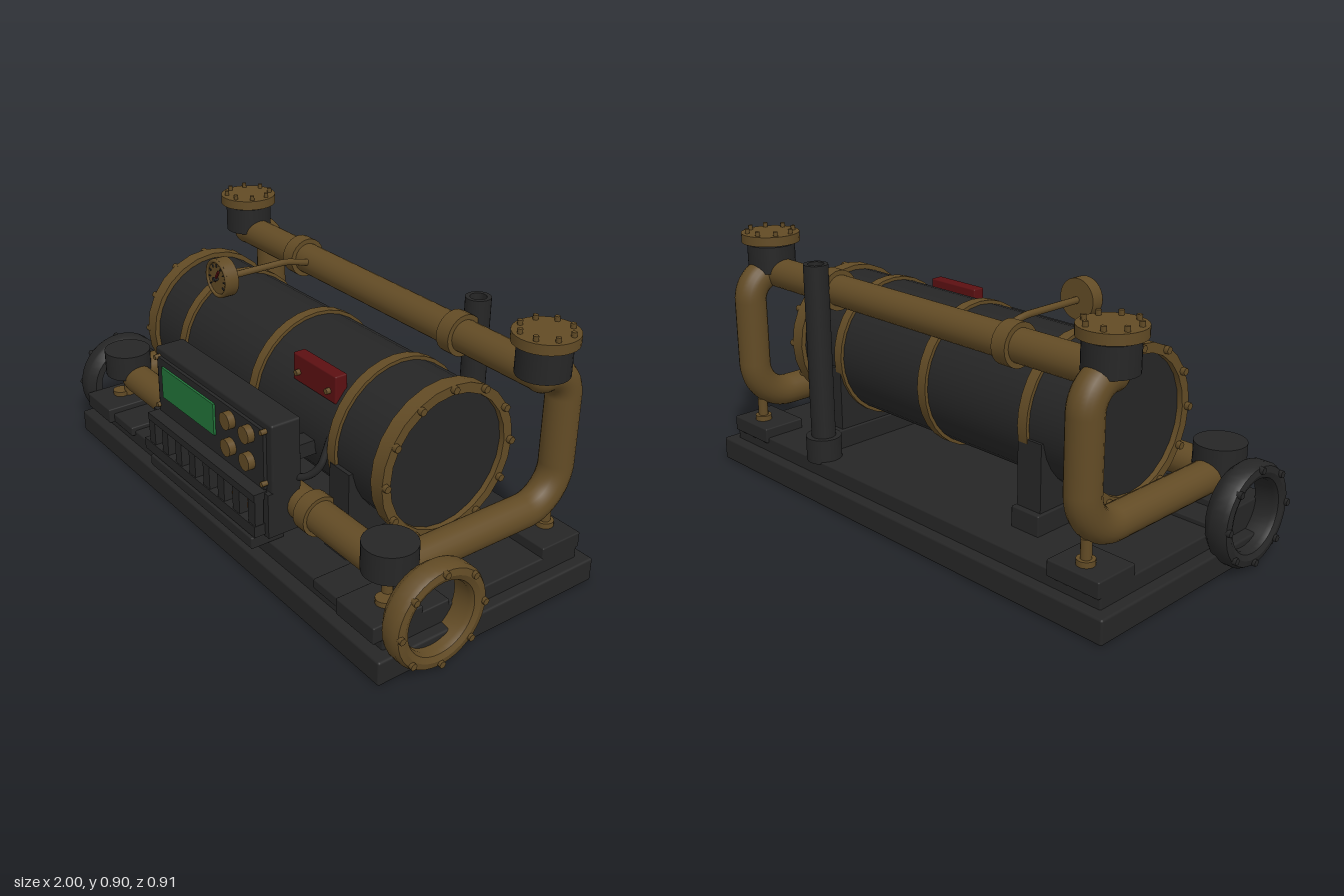
import * as THREE from 'three';
import { toCreasedNormals } from 'three/addons/utils/BufferGeometryUtils.js';
import { RoundedBoxGeometry } from 'three/addons/geometries/RoundedBoxGeometry.js';

const mat = (name, color) => Object.assign(new THREE.MeshStandardMaterial({ color }), { name });

export function createModel() {
  const iron = mat('dark iron', 0x262626);
  const brass = mat('aged brass', 0x624b25);
  const red = mat('red plate', 0x5c1012);
  const green = mat('green screen', 0x22753a);
  const orange = mat('flame orange', 0xd07a24);
  const ember = mat('ember brown', 0x5a3413);
  const model = new THREE.Group();
  model.name = 'boiler';
  const V = (x, y, z) => new THREE.Vector3(x, y, z);

  const add = (name, geometry, material, x = 0, y = 0, z = 0) => {
    const mesh = new THREE.Mesh(geometry, material);
    mesh.name = name;
    mesh.position.set(x, y, z);
    model.add(mesh);
    return mesh;
  };
  // box given by its extents on each axis
  const box = (name, m, x0, x1, y0, y1, z0, z1, r = 0) => {
    const s = [Math.abs(x1 - x0), y1 - y0, z1 - z0];
    const g = r ? new RoundedBoxGeometry(...s, 2, r) : new THREE.BoxGeometry(...s);
    return add(name, g, m, (x0 + x1) / 2, (y0 + y1) / 2, (z0 + z1) / 2);
  };
  // cylinder of radius r and length h centred at a point, along one axis
  const cyl = (name, m, axis, r, h, x, y, z, seg = 24) => {
    const g = new THREE.CylinderGeometry(r, r, h, seg);
    if (axis === 'x') g.rotateZ(-Math.PI / 2);
    if (axis === 'z') g.rotateX(Math.PI / 2);
    return add(name, g, m, x, y, z);
  };
  const lathe = (pts, seg = 32) =>
    toCreasedNormals(new THREE.LatheGeometry(pts.map(p => new THREE.Vector2(...p)), seg), 0.6);
  // hollow ring along x, side s = 1 or -1
  const ringX = (name, m, pts, s, x, y, z, seg) =>
    add(name, lathe(pts, seg).rotateZ(-s * Math.PI / 2), m, x, y, z);
  // pipe through points with rounded corners of the given radii
  const pipe = (name, m, pts, bends, r, steps = 60, sides = 16) => {
    const path = new THREE.CurvePath();
    let from = pts[0];
    for (let i = 1; i < pts.length - 1; i++) {
      const c = pts[i], d = bends[i - 1];
      const a = c.clone().add(pts[i - 1].clone().sub(c).setLength(d));
      const b = c.clone().add(pts[i + 1].clone().sub(c).setLength(d));
      path.add(new THREE.LineCurve3(from, a));
      path.add(new THREE.CubicBezierCurve3(a, a.clone().lerp(c, 0.55), b.clone().lerp(c, 0.55), b));
      from = b;
    }
    path.add(new THREE.LineCurve3(from, pts[pts.length - 1]));
    return add(name, new THREE.TubeGeometry(path, steps, r, sides), m);
  };

  // stepped base
  box('base', iron, -0.94, 0.94, 0, 0.085, -0.455, 0.43, 0.008);
  box('basePlinth', iron, -0.9, 0.9, 0.08, 0.14, -0.415, 0.385, 0.006);

  // boiler drum, its bands and end flanges
  const BY = 0.478, BZ = -0.022;
  cyl('boilerDrum', iron, 'x', 0.244, 1.36, 0, BY, BZ, 32);
  for (const x of [-0.458, 0, 0.442]) cyl('boilerBand', brass, 'x', 0.256, 0.038, x, BY, BZ, 32);
  for (const s of [1, -1]) {
    ringX('endFlange', brass, [[0.229, -0.027], [0.262, -0.027], [0.262, 0.027], [0.229, 0.027], [0.229, -0.027]],
      s, s * 0.673, BY, BZ, 24);
    for (let i = 0; i < 12; i++) {
      const a = i * Math.PI / 6;
      cyl('flangeBolt', brass, 'x', 0.013, 0.03, s * 0.701, BY + 0.25 * Math.cos(a), BZ + 0.25 * Math.sin(a), 6);
    }
  }

  for (const s of [1, -1]) {
    // saddles carrying the drum
    box('saddleFoot', iron, s * 0.43, s * 0.545, 0.13, 0.21, BZ - 0.27, BZ + 0.27, 0.005);
    box('saddle', iron, s * 0.437, s * 0.535, 0.2, 0.44, BZ - 0.25, BZ + 0.255);

    // mounting pads with brass feet
    box('widePad', iron, s * 0.58, s * 0.9, 0.12, 0.156, 0.13, 0.4, 0.005);
    box('frontPad', iron, s * 0.72, s * 0.9, 0.12, 0.178, 0.235, 0.42, 0.005);
    box('backPad', iron, s * 0.7, s * 0.9, 0.12, 0.176, -0.425, -0.26, 0.005);
    cyl('frontFoot', brass, 'y', 0.03, 0.02, s * 0.82, 0.186, 0.315, 16);
    cyl('frontFootStem', brass, 'y', 0.018, 0.06, s * 0.8, 0.21, 0.29, 12);
    cyl('backFoot', brass, 'y', 0.03, 0.02, s * 0.8, 0.185, -0.365, 16);
    cyl('backFootStem', brass, 'y', 0.018, 0.09, s * 0.8, 0.215, -0.365, 12);

    // side loop of the main pipe
    pipe('sidePipe', brass,
      [V(s * 0.8, 0.74, -0.285), V(s * 0.8, 0.74, -0.388), V(s * 0.8, 0.268, -0.388), V(s * 0.8, 0.268, 0.28), V(0, 0.268, 0.28)],
      [0.095, 0.14, 0.07], 0.057, 180, 20);
    add('pipeJoint', new THREE.SphereGeometry(0.057, 20, 14), brass, s * 0.8, 0.74, -0.285);
    ringX('pipeCollar', brass, [[0, -0.028], [0.072, -0.028], [0.072, 0.028], [0, 0.028]], s, s * 0.43, 0.74, -0.285, 24);
    ringX('pipeCollar', brass, [[0, -0.028], [0.07, -0.028], [0.07, 0.028], [0, 0.028]], s, s * 0.43, 0.268, 0.28, 24);

    // top valve: iron body, bolted brass cap
    cyl('topValve', iron, 'y', 0.086, 0.097, s * 0.8, 0.794, -0.285, 28);
    cyl('topValveNeck', brass, 'y', 0.06, 0.02, s * 0.8, 0.845, -0.285, 20);
    cyl('topValveCap', brass, 'y', 0.105, 0.034, s * 0.8, 0.867, -0.285, 28);
    for (let i = 0; i < 8; i++) {
      const a = (i + 0.5) * Math.PI / 4;
      cyl('capBolt', brass, 'y', 0.009, 0.02, s * 0.8 + 0.084 * Math.cos(a), 0.89, -0.285 + 0.084 * Math.sin(a), 6);
    }
    cyl('frontValve', iron, 'y', 0.087, 0.097, s * 0.8, 0.322, 0.285, 28);

    // open round flange at each end, brass on the left and iron on the right
    const m = s > 0 ? brass : iron;
    ringX('outletRing', m, [[0.125, -0.05], [0.15, -0.05], [0.172, -0.025], [0.175, -0.015], [0.175, 0.025], [0.166, 0.04],
      [0.145, 0.044], [0.127, 0.036], [0.12, 0.02], [0.125, -0.05]], s, s * 0.945, 0.183, 0.235, 36);
    for (let i = 0; i < 8; i++) {
      const a = i * Math.PI / 4;
      cyl('outletBolt', m, 'x', 0.012, 0.03, s * 0.983, 0.183 + 0.158 * Math.cos(a), 0.235 + 0.158 * Math.sin(a), 6);
    }
  }
  cyl('topPipe', brass, 'x', 0.055, 1.6, 0, 0.74, -0.285, 24);

  // hollow chimney behind the drum
  add('chimney', lathe([[0.028, 0.2], [0.043, 0.2], [0.043, 0.845], [0.028, 0.845], [0.028, 0.2]], 24), iron, 0.425, 0, -0.367);
  cyl('chimneyBase', iron, 'y', 0.063, 0.09, 0.425, 0.176, -0.367, 24);

  // pressure gauge on its thin stem
  const GX = -0.335, GY = 0.78;
  pipe('gaugeStem', brass, [V(GX, 0.777, 0.11), V(GX, 0.777, -0.14), V(GX, 0.75, -0.25)], [0.02], 0.012, 40, 10);
  cyl('gauge', brass, 'z', 0.07, 0.045, GX, GY, 0.127, 28);
  add('gaugeRim', new THREE.TorusGeometry(0.063, 0.007, 8, 28), brass, GX, GY, 0.15);
  for (let i = 0; i < 9; i++) {
    const a = -0.6 + i * (Math.PI + 1.2) / 8;
    const tick = box('gaugeTick', iron, -0.002, 0.002, -0.006, 0.006, 0.149, 0.153);
    tick.position.set(GX + 0.047 * Math.cos(a), GY + 0.047 * Math.sin(a), 0.151);
    tick.rotation.z = a - Math.PI / 2;
  }
  const needle = box('gaugeNeedle', red, -0.004, 0.004, -0.025, 0.025, 0.153, 0.159);
  needle.position.set(GX + 0.008, GY + 0.012, 0.157);
  needle.rotation.z = -0.55;
  cyl('gaugeHub', iron, 'z', 0.008, 0.018, GX, GY, 0.157, 10);

  // red plate with screws
  box('redPlate', red, 0.175, 0.4, 0.61, 0.705, 0.14, 0.186, 0.005);
  for (const x of [0.208, 0.368]) cyl('plateScrew', brass, 'z', 0.01, 0.018, x, 0.647, 0.192, 8);

  // control box with screen, knobs and corner screws
  box('controlBox', iron, -0.36, 0.355, 0.325, 0.58, 0.283, 0.393, 0.008);
  box('controlPanel', iron, -0.33, 0.325, 0.345, 0.555, 0.385, 0.405);
  box('screen', green, -0.29, 0.045, 0.415, 0.53, 0.405, 0.413);
  for (const x of [0.14, 0.25]) for (const y of [0.418, 0.515]) {
    cyl('knob', brass, 'z', 0.03, 0.025, x, y, 0.418, 16);
  }
  for (const x of [-0.33, 0.325]) for (const y of [0.368, 0.552]) {
    cyl('panelScrew', brass, 'z', 0.009, 0.022, x, y, 0.405, 8);
  }
  for (const s of [1, -1]) box('controlBracket', iron, s * 0.28, s * 0.34, 0.42, 0.47, 0.18, 0.29);
  pipe('conduit', iron, [V(0.41, 0.56, 0.19), V(0.41, 0.38, 0.262), V(0.33, 0.36, 0.3)], [0.06], 0.012, 30, 10);

  // firebox with flames behind a grate
  box('firebox', iron, -0.37, 0.355, 0.18, 0.34, 0.29, 0.41);
  box('emberPlate', ember, -0.33, 0.32, 0.21, 0.325, 0.408, 0.414);
  box('grateTop', iron, -0.34, 0.335, 0.318, 0.345, 0.4, 0.45);
  box('grateBottom', iron, -0.375, 0.335, 0.187, 0.228, 0.4, 0.45);
  box('ashLip', iron, -0.33, 0.325, 0.14, 0.182, 0.33, 0.456, 0.005);
  const flame = new THREE.Shape();
  flame.moveTo(0, 0);
  flame.bezierCurveTo(0.03, 0.004, 0.026, 0.035, 0.004, 0.075);
  flame.bezierCurveTo(-0.002, 0.05, -0.034, 0.02, 0, 0);
  const flameGeometry = new THREE.ExtrudeGeometry(flame, { depth: 0.006, bevelEnabled: false, curveSegments: 8 });
  for (let i = 0; i < 7; i++) add('flame', flameGeometry, orange, -0.278 + i * 0.091, 0.235, 0.416);
  for (let i = 0; i < 8; i++) {
    const x = -0.3235 + i * 0.091;
    box('grateBar', iron, x - 0.02, x + 0.02, 0.2, 0.33, 0.414, 0.446);
  }
  return model;
}
